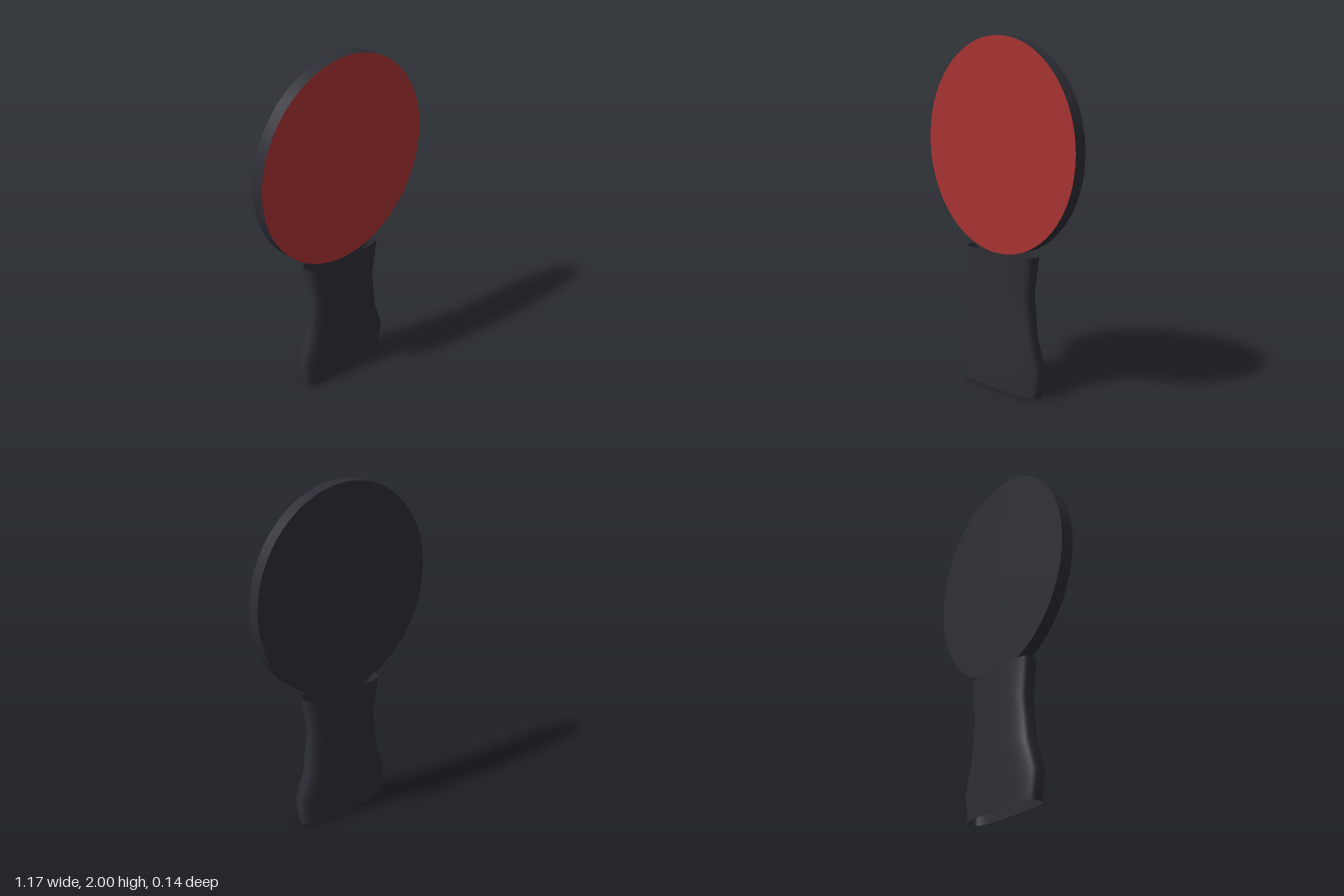
import * as THREE from 'three';

const red = new THREE.MeshStandardMaterial({ name: 'red rubber', color: 0xa83232 });
const black = new THREE.MeshStandardMaterial({ name: 'black', color: 0x2d2d35 });
const grip = new THREE.MeshStandardMaterial({ name: 'black grip', color: 0x2d2d35, side: THREE.DoubleSide });

// Slightly oval blade: dark rim, red front, dark back
function makeBlade() {
  const geo = new THREE.CylinderGeometry(1, 1, 0.074, 72);
  geo.rotateX(Math.PI / 2);
  geo.scale(0.583, 0.606, 1);
  const blade = new THREE.Mesh(geo, [black, red, black]);
  blade.name = 'blade';
  blade.position.y = 1.394;
  return blade;
}

// Open sleeve handle: flared profile swept around a flattened, boxy oval
function makeHandle() {
  // half width, height, half depth
  const rings = [
    [0.295, 0, 0.065],
    [0.32, 0.16, 0.069],
    [0.26, 0.33, 0.067],
    [0.232, 0.58, 0.066],
    [0.265, 0.8, 0.069],
  ];
  const profile = rings.map(([w, y]) => new THREE.Vector2(w, y));
  const geo = new THREE.LatheGeometry(profile, 64, Math.PI / 2);
  const pos = geo.attributes.position;
  const power = 2 / 3.2;
  const bend = (v) => Math.sign(v) * Math.pow(Math.abs(v), power);
  for (let i = 0; i < pos.count; i++) {
    const [w, y, d] = rings[i % rings.length];
    pos.setXYZ(i, w * bend(pos.getX(i) / w), y, d * bend(pos.getZ(i) / w));
  }
  geo.computeVertexNormals();
  const handle = new THREE.Mesh(geo, grip);
  handle.name = 'handle';
  return handle;
}

export function createModel() {
  const model = new THREE.Group();
  model.name = 'paddle';
  model.add(makeBlade(), makeHandle());
  return model;
}
